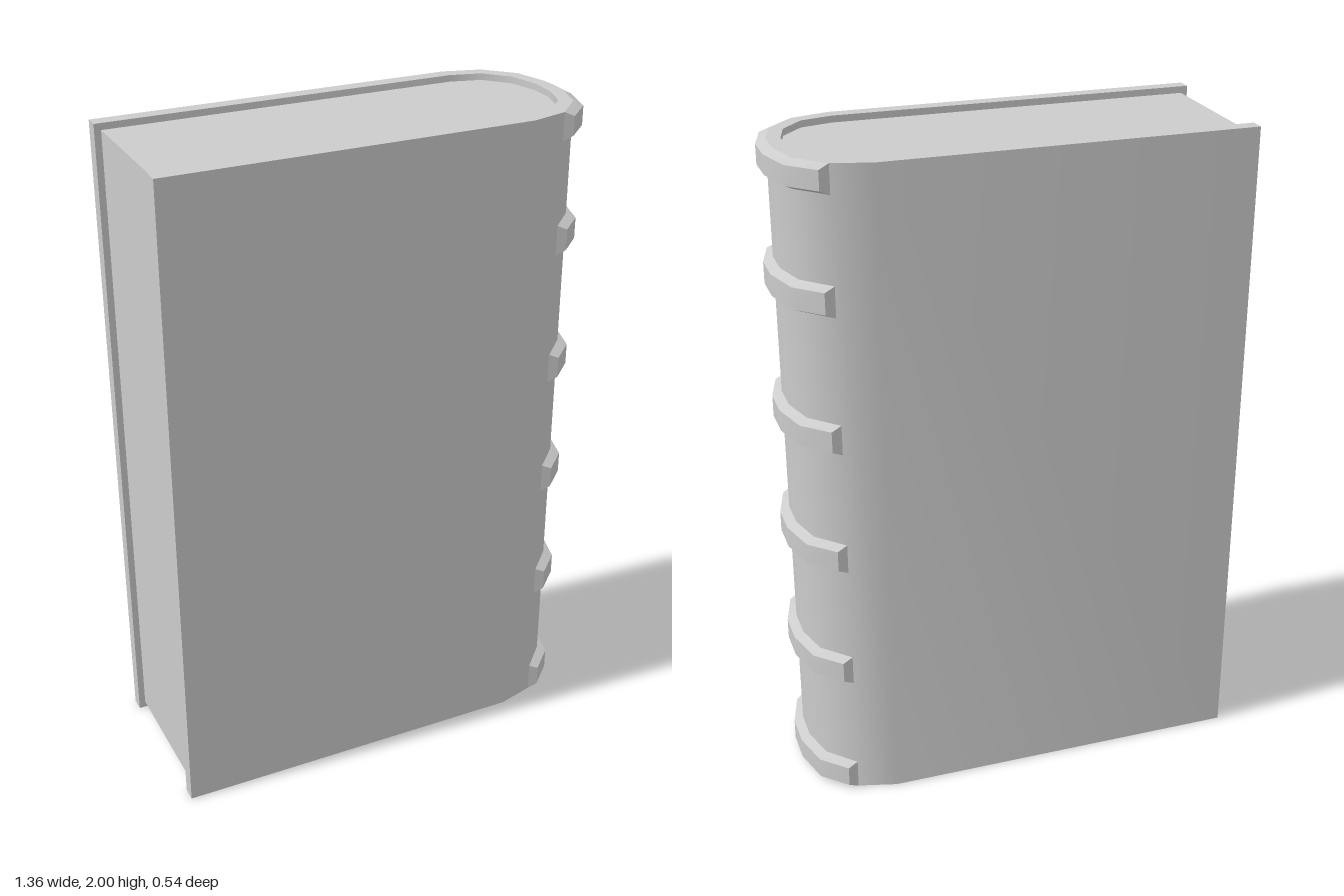
import * as THREE from 'three';
import { toCreasedNormals } from 'three/addons/utils/BufferGeometryUtils.js';

const material = new THREE.MeshStandardMaterial({ color: 0xcccccc });

// Half profiles seen from above as [x, z], running from the fore edge to the spine
const OUTER = [[-0.68, 0.268], [0.425, 0.268], [0.54, 0.237], [0.62, 0.155], [0.65, 0.05]];
const INNER = [[-0.68, 0.224], [0.425, 0.224], [0.52, 0.2], [0.585, 0.13], [0.61, 0.04]];
const BAND_BASE = OUTER.slice(2);
const BAND_RIM = [[0.57, 0.243], [0.645, 0.17], [0.678, 0.053]];

// Adds the half mirrored across z = 0
const mirror = (half) => [...half, ...half.map(([x, z]) => [x, -z]).reverse()];

function addMesh(group, name, geometry) {
  const mesh = new THREE.Mesh(toCreasedNormals(geometry, 0.6), material);
  mesh.name = name;
  group.add(mesh);
}

// Upright prism over a plan outline
function prism(points, y0, y1) {
  const shape = new THREE.Shape(points.map(([x, z]) => new THREE.Vector2(x, -z)));
  const geometry = new THREE.ExtrudeGeometry(shape, { depth: y1 - y0, bevelEnabled: false });
  return geometry.rotateX(-Math.PI / 2).translate(0, y0, 0);
}

// Raised band with sloped shoulders wrapped round the spine
function bandGeometry(y0, y1) {
  const base = mirror(BAND_BASE), rim = mirror(BAND_RIM), slope = 0.014;
  const positions = [], index = [];
  const quad = (a, b, c, d) => index.push(a, b, c, a, c, d);
  base.forEach(([bx, bz], i) => {
    const [rx, rz] = rim[i];
    positions.push(bx, y0, bz, rx, y0 + slope, rz, rx, y1 - slope, rz, bx, y1, bz);
  });
  const last = (base.length - 1) * 4;
  for (let k = 0; k < last; k += 4) {
    for (let j = 0; j < 3; j++) quad(k + j, k + 4 + j, k + 5 + j, k + 1 + j);
  }
  quad(0, 1, 2, 3);
  quad(last + 3, last + 2, last + 1, last);
  const geometry = new THREE.BufferGeometry();
  geometry.setAttribute('position', new THREE.Float32BufferAttribute(positions, 3));
  geometry.setIndex(index);
  return geometry;
}

export function createModel() {
  const book = new THREE.Group();
  book.name = 'book';

  // Cover: two boards and a rounded spine in one U-shaped wall
  addMesh(book, 'cover', prism([...mirror(OUTER), ...mirror(INNER).reverse()], 0, 2));

  // Page block, slightly recessed on the three open sides
  const pages = [[-0.66, 0.224], ...INNER.slice(1)];
  addMesh(book, 'pageBlock', prism(mirror(pages), 0.02, 1.98));

  // Spine bands
  const bands = new THREE.Group();
  bands.name = 'spineBands';
  for (const y of [0, 0.387, 0.773, 1.157, 1.57, 1.915]) {
    addMesh(bands, 'spineBand', bandGeometry(y, Math.min(y + 0.092, 2)));
  }
  book.add(bands);
  return book;
}
